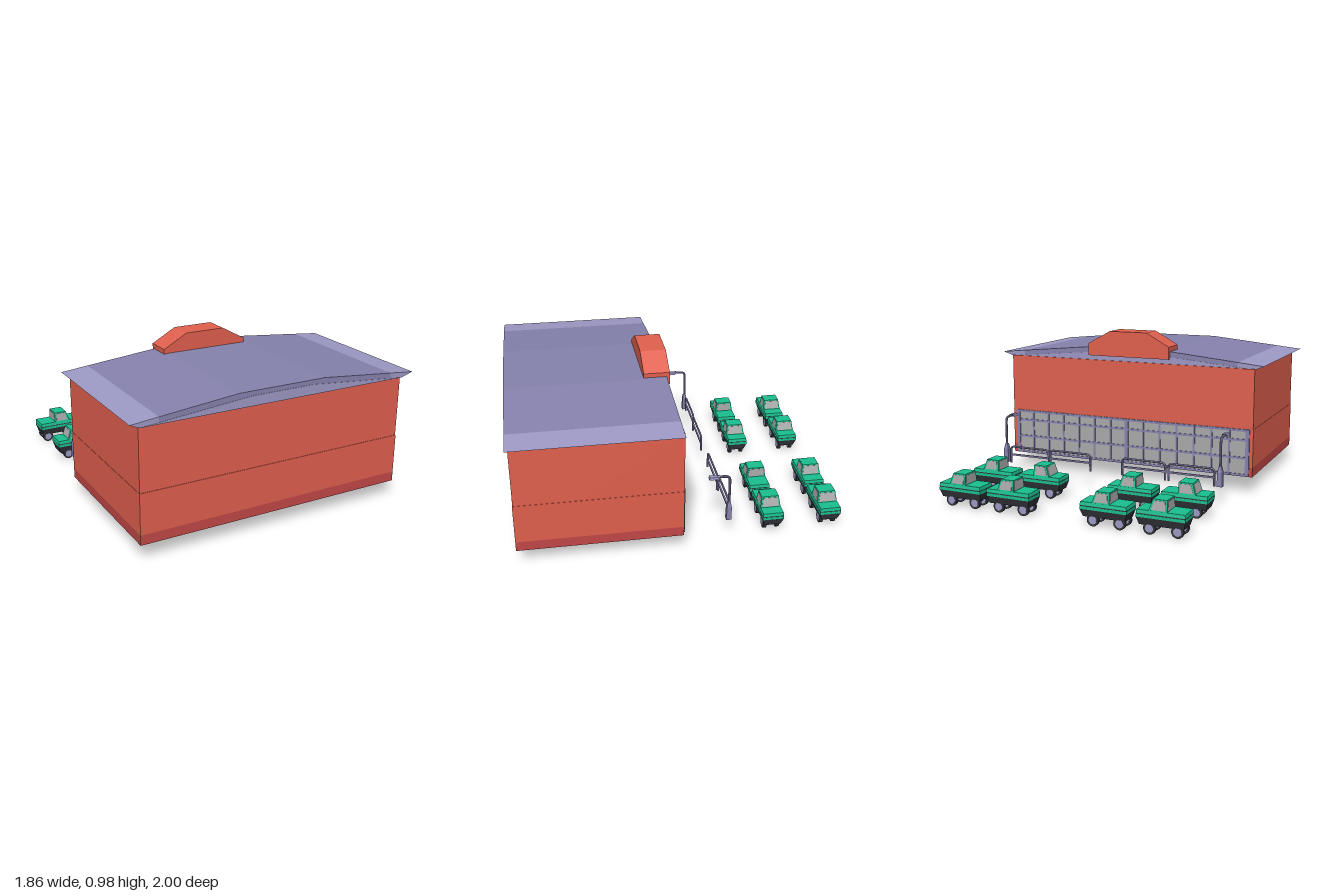
import * as THREE from 'three';

const mat = (color, side = THREE.FrontSide) =>
  new THREE.MeshStandardMaterial({ color, flatShading: true, side });
const M = {
  red: mat(0xe0604e), band: mat(0xc24646), roof: mat(0x8682ae), pale: mat(0x9d99c5),
  glass: mat(0xaaaaaa), green: mat(0x1abf90), dark: mat(0x34363c),
};

function add(parent, name, geometry, material) {
  const mesh = new THREE.Mesh(geometry, material);
  mesh.name = name;
  parent.add(mesh);
  return mesh;
}

// box given by its limits
function box(parent, name, material, x0, x1, y0, y1, z0, z1) {
  const g = new THREE.BoxGeometry(x1 - x0, y1 - y0, z1 - z0);
  g.translate((x0 + x1) / 2, (y0 + y1) / 2, (z0 + z1) / 2);
  return add(parent, name, g, material);
}

// box with separate bottom and top rectangles: [x0, x1, z0, z1]
function taper(parent, name, material, y0, y1, bottom, top) {
  const g = new THREE.BoxGeometry(1, 1, 1);
  const p = g.attributes.position;
  for (let i = 0; i < p.count; i++) {
    const r = p.getY(i) > 0 ? top : bottom;
    p.setXYZ(i, r[p.getX(i) > 0 ? 1 : 0], p.getY(i) > 0 ? y1 : y0, r[p.getZ(i) > 0 ? 3 : 2]);
  }
  g.computeVertexNormals();
  return add(parent, name, g, material);
}

// x-y outline pushed along z
function prism(parent, name, material, points, z0, z1) {
  const shape = new THREE.Shape(points.map(([x, y]) => new THREE.Vector2(x, y)));
  const g = new THREE.ExtrudeGeometry(shape, { depth: z1 - z0, bevelEnabled: false });
  g.translate(0, 0, z0);
  return add(parent, name, g, material);
}

function building() {
  const g = new THREE.Group();
  g.name = 'building';
  box(g, 'walls', M.red, -0.873, 0.848, 0.165, 0.79, 0, 0.985);
  box(g, 'lowerWall', M.red, -0.875, 0.85, 0.165, 0.41, 0, 0.988);
  box(g, 'baseBand', M.band, -0.875, 0.85, 0.105, 0.165, 0, 0.988);

  // shallow roof with pale eaves
  prism(g, 'roof', M.roof, [[-0.76, 0.785], [0.76, 0.785], [0.76, 0.826], [0.28, 0.873],
    [-0.28, 0.873], [-0.76, 0.826]], 0.01, 1);
  for (const s of [-1, 1]) {
    const inner = s > 0 ? 0.85 : 0.872;
    prism(g, 'eave', M.pale, [[s * 0.76, 0.785], [s * inner, 0.785], [s * 0.928, 0.809],
      [s * 0.76, 0.826]], 0.01, 1);
  }
  for (const z of [0.008, 0.999])
    prism(g, 'gableTrim', M.pale, [[-0.86, 0.786], [0.84, 0.786], [0.2, 0.845], [-0.2, 0.845]], z, z + 0.003);

  // raised sign board, left blank
  prism(g, 'signBoard', M.red, [[-0.31, 0.82], [0.26, 0.82], [0.26, 0.9], [0.105, 0.985],
    [-0.155, 0.985], [-0.31, 0.9]], -0.01, 0.152);
  return g;
}

function shopFront() {
  const g = new THREE.Group();
  g.name = 'shopFront';
  const x0 = -0.84, x1 = 0.81, y0 = 0.108, y1 = 0.41, columns = 14;
  box(g, 'windowPanes', M.glass, x0, x1, y0, y1, -0.003, 0.01);
  for (let i = 0; i <= columns; i++) {
    const x = x0 + (x1 - x0) * i / columns;
    const w = i % 7 === 0 ? 0.012 : 0.006;
    box(g, 'mullion', M.roof, x - w, x + w, y0, y1, -0.009, 0);
  }
  for (const y of [0.115, 0.225, 0.34, 0.402])
    box(g, 'crossbar', M.roof, x0, x1, y - 0.007, y + 0.007, -0.008, 0);
  return g;
}

// bent-tube barrier with a middle bar
function railing(x0, x1, z) {
  const g = new THREE.Group();
  g.name = 'railing';
  const v = (x, y) => new THREE.Vector3(x, y, z);
  const path = new THREE.CurvePath();
  const r = 0.025, top = 0.22;
  path.add(new THREE.LineCurve3(v(x0, 0.11), v(x0, top - r)));
  path.add(new THREE.QuadraticBezierCurve3(v(x0, top - r), v(x0, top), v(x0 + r, top)));
  path.add(new THREE.LineCurve3(v(x0 + r, top), v(x1 - r, top)));
  path.add(new THREE.QuadraticBezierCurve3(v(x1 - r, top), v(x1, top), v(x1, top - r)));
  path.add(new THREE.LineCurve3(v(x1, top - r), v(x1, 0.11)));
  add(g, 'railingFrame', new THREE.TubeGeometry(path, 60, 0.007, 6), M.roof);
  box(g, 'railingBar', M.roof, x0, x1, 0.16, 0.171, z - 0.005, z + 0.005);
  return g;
}

function streetLamp(x) {
  const g = new THREE.Group();
  g.name = 'streetLamp';
  g.position.x = x;
  taper(g, 'lampBase', M.roof, 0.112, 0.2, [-0.017, 0.017, -0.313, -0.28], [-0.016, 0.016, -0.311, -0.282]);
  taper(g, 'lampBaseNeck', M.roof, 0.2, 0.235, [-0.016, 0.016, -0.311, -0.282], [-0.009, 0.009, -0.305, -0.288]);
  const path = new THREE.CatmullRomCurve3([[0.23, -0.297], [0.385, -0.297], [0.41, -0.288],
    [0.415, -0.26], [0.415, -0.2]].map(([y, z]) => new THREE.Vector3(0, y, z)), false, 'catmullrom', 0.2);
  add(g, 'lampPole', new THREE.TubeGeometry(path, 24, 0.008, 8), M.roof);
  taper(g, 'lampHead', M.pale, 0.405, 0.421, [-0.017, 0.017, -0.22, -0.168], [-0.014, 0.014, -0.235, -0.172]);
  return g;
}

// pickup-like car facing +x, centred on its own origin
function car() {
  const g = new THREE.Group();
  g.name = 'car';
  taper(g, 'underbody', M.dark, 0.055, 0.1, [-0.13, 0.13, -0.05, 0.05], [-0.1425, 0.1425, -0.066, 0.066]);
  box(g, 'bodySide', M.green, -0.1425, 0.1425, 0.1, 0.117, -0.066, 0.066);
  box(g, 'trimStrip', M.dark, -0.141, 0.141, 0.117, 0.123, -0.065, 0.065);
  taper(g, 'bodyTop', M.green, 0.123, 0.143, [-0.1425, 0.1425, -0.066, 0.066], [-0.14, 0.14, -0.063, 0.063]);

  // cab with windows lying just proud of its slanted faces
  const low = [-0.038, 0.07, -0.063, 0.063], high = [-0.036, 0.048, -0.053, 0.053];
  taper(g, 'cab', M.green, 0.14, 0.208, low, high);
  const pane = (name, y, ex, ez) => {
    const t = (y - 0.14) / 0.068;
    return low.map((a, i) => a + (high[i] - a) * t + (i % 2 ? 1 : -1) * (i < 2 ? ex : ez));
  };
  const windows = (name, ex, ez) =>
    taper(g, name, M.glass, 0.148, 0.2, pane(name, 0.148, ex, ez), pane(name, 0.2, ex, ez));
  windows('frontAndRearWindows', 0.002, -0.009);
  windows('sideWindows', -0.012, 0.002);

  for (const x of [-0.0925, 0.07]) {
    for (const z of [-0.04, 0.04]) {
      const wheel = new THREE.Group();
      wheel.name = 'wheel';
      wheel.position.set(x, 0.038, z);
      const tire = new THREE.CylinderGeometry(0.036, 0.036, 0.02, 16).rotateX(Math.PI / 2);
      add(wheel, 'tire', tire, M.dark);
      add(wheel, 'hub', new THREE.CylinderGeometry(0.024, 0.024, 0.023, 12).rotateX(Math.PI / 2), M.pale);
      g.add(wheel);
    }
    box(g, 'axle', M.dark, x - 0.006, x + 0.006, 0.035, 0.06, -0.04, 0.04);
  }
  return g;
}

export function createModel() {
  const model = new THREE.Group();
  model.name = 'shopWithCarPark';
  model.add(building(), shopFront());

  for (const [a, b, z] of [[-0.725, -0.43, -0.303], [-0.405, -0.115, -0.297],
    [0.11, 0.4, -0.297], [0.41, 0.695, -0.303]]) model.add(railing(a, b, z));
  for (const x of [-0.76, 0.73]) model.add(streetLamp(x));

  // two rows of four parked cars; the near row has two facing the other way
  for (const z of [-0.934, -0.571]) {
    [-0.6525, -0.3125, 0.2975, 0.6275].forEach((x, i) => {
      const c = car();
      c.position.set(x, 0, z);
      if (z > -0.7 && i % 2 === 0) c.rotation.y = Math.PI;
      model.add(c);
    });
  }
  return model;
}
